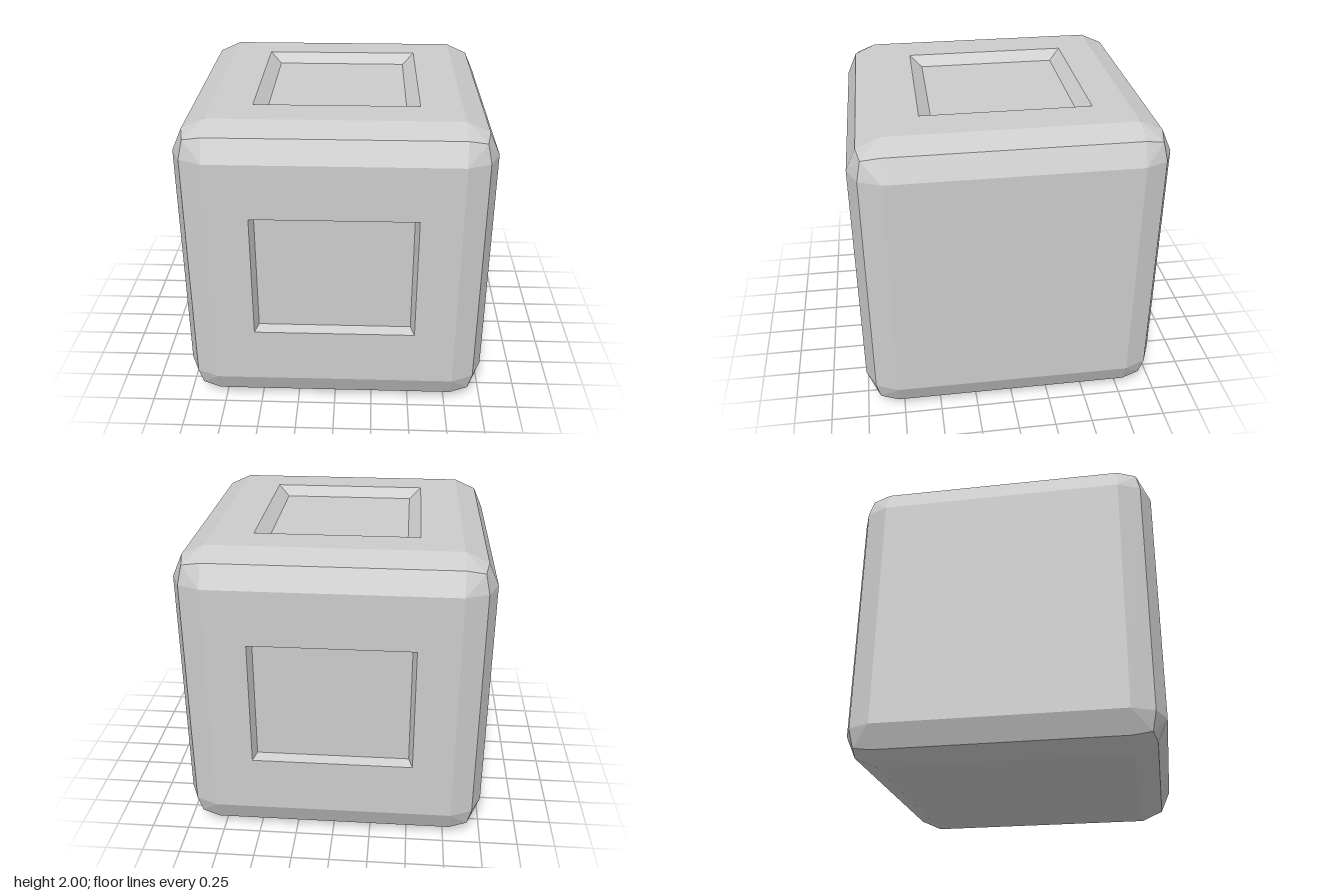
import * as THREE from 'three';

const FLAT = 0.79;   // half width of each flat face
const EDGE = 0.935;  // ridge halfway round each bevelled edge
const CORNER = 0.91; // tip of each bevelled corner

const material = new THREE.MeshStandardMaterial({ color: 0xcccccc, flatShading: true });

// Mesh from a list of counter-clockwise quads
function quadMesh(name, quads) {
  const points = quads.flatMap(([a, b, c, d]) => [a, b, c, a, c, d]);
  const geometry = new THREE.BufferGeometry();
  geometry.setAttribute('position', new THREE.Float32BufferAttribute(points.flat(), 3));
  geometry.computeVertexNormals();
  const mesh = new THREE.Mesh(geometry, material);
  mesh.name = name;
  return mesh;
}

// Rectangle corners, counter-clockwise, facing +z
const rect = (halfW, bottom, top, z) => [
  [-halfW, bottom, z], [halfW, bottom, z], [halfW, top, z], [-halfW, top, z],
];

// Four quads joining an outer rectangle to an inner one
const ring = (outer, inner) => outer.map((p, i) => {
  const j = (i + 1) % 4;
  return [p, outer[j], inner[j], inner[i]];
});

// One side's share of the bevels: a 3 x 3 grid without its centre
function bevelQuads() {
  const vertex = (i, j) => {
    const outerU = i === 0 || i === 3, outerV = j === 0 || j === 3;
    const su = i < 2 ? -1 : 1, sv = j < 2 ? -1 : 1;
    if (outerU && outerV) return [su * CORNER, sv * CORNER, CORNER];
    if (outerU) return [su * EDGE, sv * FLAT, EDGE];
    if (outerV) return [su * FLAT, sv * EDGE, EDGE];
    return [su * FLAT, sv * FLAT, 1];
  };
  const quads = [];
  for (let i = 0; i < 3; i++) {
    for (let j = 0; j < 3; j++) {
      if (i === 1 && j === 1) continue;
      const q = [vertex(i, j), vertex(i + 1, j), vertex(i + 1, j + 1), vertex(i, j + 1)];
      // Corner quads split along the diagonal that reaches the tip
      if ((i === 0) !== (j === 0) && i !== 1 && j !== 1) q.push(q.shift());
      quads.push(q);
    }
  }
  return quads;
}

// A side of the cube facing +z, with an optional sunken panel
function createSide(name, recess) {
  const side = new THREE.Group();
  side.name = name;
  side.add(quadMesh(name + 'Bevel', bevelQuads()));
  const face = rect(FLAT, -FLAT, FLAT, 1);
  if (!recess) {
    side.add(quadMesh(name + 'Face', [face]));
    return side;
  }
  const { halfW, bottom, top, slope, depth } = recess;
  const rim = rect(halfW, bottom, top, 1);
  const floor = rect(halfW - slope, bottom + slope, top - slope, 1 - depth);
  side.add(
    quadMesh(name + 'Face', ring(face, rim)),
    quadMesh(name + 'RecessWalls', ring(rim, floor)),
    quadMesh(name + 'RecessFloor', [floor]),
  );
  return side;
}

export function createModel() {
  const model = new THREE.Group();
  model.name = 'bevelledCube';
  const wallRecess = { halfW: 0.525, bottom: -0.416, top: 0.425, slope: 0.026, depth: 0.06 };
  const topRecess = { halfW: 0.525, bottom: -0.542, top: 0.553, slope: 0.08, depth: 0.06 };
  const quarter = Math.PI / 2;

  // name, turn about x, turn about y, recess
  const sides = [
    ['front', 0, 0, wallRecess],
    ['back', 0, 2 * quarter, wallRecess],
    ['left', 0, quarter, null],
    ['right', 0, -quarter, null],
    ['top', -quarter, 0, topRecess],
    ['bottom', quarter, 0, null],
  ];
  for (const [name, rx, ry, recess] of sides) {
    const side = createSide(name, recess);
    side.rotation.set(rx, ry, 0);
    side.position.y = 1;
    model.add(side);
  }
  return model;
}
